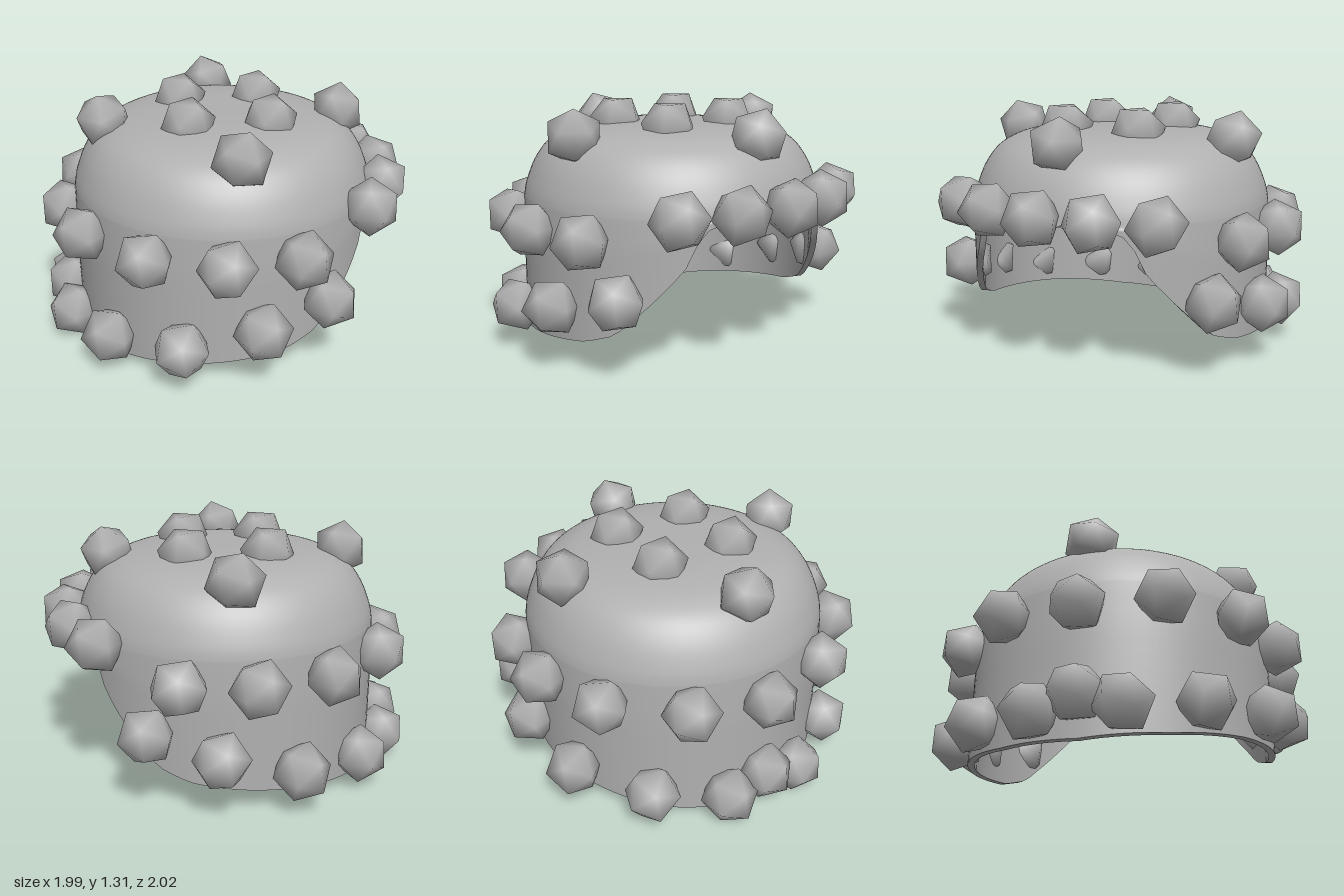
import * as THREE from 'three';
import { mergeVertices } from 'three/addons/utils/BufferGeometryUtils.js';

const SEGMENTS = 96;
const THICKNESS = 0.035;
const SHOULDER = 0.84; // below this height the wall is straight

// dome profile from crown to shoulder: [radius, height]
const DOME = new THREE.SplineCurve([
  [0, 1.225], [0.3, 1.222], [0.5, 1.2], [0.61, 1.165], [0.69, 1.11], [0.755, 1.02], [0.8, 0.91], [0.815, SHOULDER],
].map(([r, y]) => new THREE.Vector2(r, y))).getPoints(28);

// height of the lower edge against the angle from the face opening (degrees)
const EDGE = [[0, 0.83], [22, 0.825], [29, 0.81], [33, 0.75], [38, 0.6], [50, 0.42],
  [62, 0.26], [74, 0.2], [90, 0.17], [120, 0.12], [150, 0.06], [180, 0.03]];

function edgeHeight(angle) {
  let a = Math.abs(THREE.MathUtils.radToDeg(angle)) % 360;
  if (a > 180) a = 360 - a;
  const i = Math.max(1, EDGE.findIndex((e) => e[0] >= a - 1e-6));
  const [a0, y0] = EDGE[i - 1], [a1, y1] = EDGE[i];
  return THREE.MathUtils.mapLinear(a, a0, a1, y0, y1);
}

// skin a list of rings; each ring is a function angle -> [radius, height]
function skin(rings, flip) {
  const positions = [], index = [];
  rings.forEach((ring) => {
    for (let i = 0; i < SEGMENTS; i++) {
      const a = (i / SEGMENTS) * Math.PI * 2;
      const [r, y] = ring(a);
      positions.push(r * Math.cos(a), y, r * Math.sin(a));
    }
  });
  for (let j = 0; j < rings.length - 1; j++) {
    for (let i = 0; i < SEGMENTS; i++) {
      const k = (i + 1) % SEGMENTS;
      const a = j * SEGMENTS + i, b = j * SEGMENTS + k;
      const c = a + SEGMENTS, d = b + SEGMENTS;
      if (flip) index.push(a, c, b, b, c, d);
      else index.push(a, b, c, b, d, c);
    }
  }
  const g = new THREE.BufferGeometry();
  g.setAttribute('position', new THREE.Float32BufferAttribute(positions, 3));
  g.setIndex(index);
  const merged = mergeVertices(g, 1e-5);
  merged.computeVertexNormals();
  return merged;
}

// rings of one wall surface, moved inward by an inset
function wallRings(inset) {
  const rings = DOME.map((p) => () => [Math.max(0, p.x - inset), p.y - inset * (1 - p.x / 0.815)]);
  for (let s = 1; s <= 10; s++) {
    rings.push((a) => [0.815 + 0.008 * Math.min(1, s / 3) - inset,
      THREE.MathUtils.lerp(SHOULDER, edgeHeight(a), s / 10)]);
  }
  return rings;
}

export function createModel() {
  const model = new THREE.Group();
  const grey = new THREE.MeshStandardMaterial({ color: 0xb0b0b0 });
  grey.name = 'grey';

  const add = (geometry, name) => {
    const mesh = new THREE.Mesh(geometry, grey);
    mesh.name = name;
    model.add(mesh);
    return mesh;
  };

  // helmet shell: outside, inside and the cut rim joining them
  const outer = wallRings(0), inner = wallRings(THICKNESS);
  add(skin(outer, false), 'shellOutside');
  add(skin(inner, true), 'shellInside');
  add(skin([outer.at(-1), inner.at(-1)], false), 'shellRim');

  // smooth-shaded stud, turned so that a face points along +z
  let stud = new THREE.IcosahedronGeometry(0.152, 0);
  stud.deleteAttribute('normal');
  stud.deleteAttribute('uv');
  stud = mergeVertices(stud, 1e-4);
  stud.applyQuaternion(new THREE.Quaternion().setFromUnitVectors(
    new THREE.Vector3(1, 1, 1).normalize(), new THREE.Vector3(0, 0, 1)));
  stud.computeVertexNormals();

  const addStud = (x, y, z, outward, name) => {
    const mesh = add(stud, name);
    mesh.position.set(x, y, z);
    mesh.lookAt(mesh.position.clone().add(outward));
  };

  // studs around the wall, mirrored across z: [x, y, z]
  const rows = {
    browStud: [[0.87, 0.87, 0], [0.82, 0.87, 0.3], [0.68, 0.86, 0.57]],
    middleStud: [[0.28, 0.73, 0.84], [-0.1, 0.73, 0.88], [-0.48, 0.73, 0.74], [-0.78, 0.73, 0.41], [-0.87, 0.7, 0]],
    lowerStud: [[0.44, 0.45, 0.76], [0.08, 0.365, 0.88], [-0.32, 0.265, 0.83], [-0.67, 0.215, 0.57],
      [-0.86, 0.17, 0.22], [-0.87, 0.235, 0]],
  };
  for (const [name, spots] of Object.entries(rows)) {
    for (const [x, y, z] of spots) {
      for (const side of z ? [1, -1] : [1]) {
        addStud(x, y, z * side, new THREE.Vector3(x, 0, z * side), name);
      }
    }
  }

  // studs on the crown
  for (const x of [-0.21, 0.22]) {
    for (const z of [-0.22, 0.22]) addStud(x, 1.22, z, new THREE.Vector3(0, 1, 0), 'crownStud');
  }
  for (let i = 0; i < 4; i++) {
    const a = (i * Math.PI) / 2, c = Math.cos(a), s = Math.sin(a);
    addStud(0.64 * c, 1.19, 0.66 * s, new THREE.Vector3(c, 1, s), 'crownEdgeStud');
  }
  return model;
}
